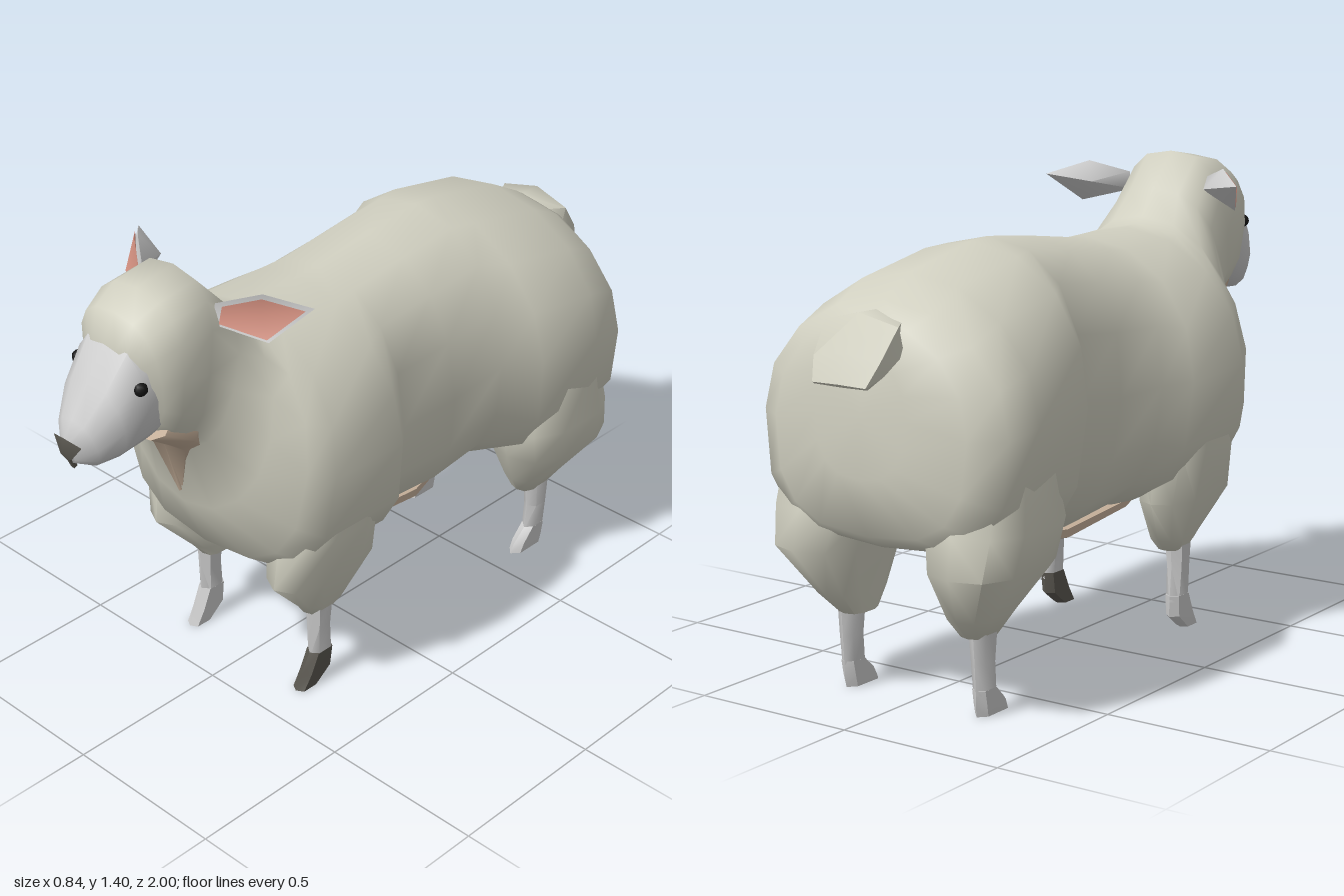
import * as THREE from 'three';
import { toCreasedNormals } from 'three/addons/utils/BufferGeometryUtils.js';

const mat = (color) => new THREE.MeshStandardMaterial({ color, side: THREE.DoubleSide });
const WOOL = mat(0xd0cfc0), SKIN = mat(0xcccccc), TAN = mat(0xc6b09a);
const PINK = mat(0xd39080), DARK = mat(0x5a5750), BLACK = mat(0x151515);

// rounded outline: unit cosine and sine pushed towards a box by the power p
const bend = (v, p) => Math.sign(v) * Math.abs(v) ** p;

// upright ring across the body: top point (zt, yt), bottom point (zb, yb), half width w,
// then the roundness of the upper and lower half (1 is an ellipse, less is boxier)
const crossRing = (n) => ([zt, yt, zb, yb, w, up = 0.85, low = up]) => Array.from({ length: n }, (_, i) => {
  const a = Math.PI / 2 + (i / n) * Math.PI * 2, p = Math.sin(a) > 0 ? up : low, s = bend(Math.sin(a), p);
  return [w * bend(Math.cos(a), p), (yt + yb) / 2 + s * (yt - yb) / 2, (zt + zb) / 2 + s * (zt - zb) / 2];
});

// level ring: height y, front and back z, inner and outer x
const levelRing = (n, p) => ([y, zf, zb, xi, xo]) => Array.from({ length: n }, (_, i) => {
  const a = ((i + 0.5) / n) * Math.PI * 2;
  return [(xi + xo) / 2 + bend(Math.cos(a), p) * (xo - xi) / 2, y, (zf + zb) / 2 + bend(Math.sin(a), p) * (zf - zb) / 2];
});

// skin a list of rings and close both ends
function loft(sections, ring, crease = 1) {
  const rings = sections.map(ring), n = rings[0].length, m = rings.length;
  const pos = rings.flat(), idx = [];
  for (let j = 0; j < m - 1; j++) for (let i = 0; i < n; i++) {
    const a = j * n + i, b = j * n + (i + 1) % n;
    idx.push(a, b, a + n, b, b + n, a + n);
  }
  [0, m - 1].forEach((j) => {
    const c = pos.length;
    pos.push([0, 1, 2].map((k) => rings[j].reduce((s, q) => s + q[k], 0) / n));
    for (let i = 0; i < n; i++) {
      const a = j * n + i, b = j * n + (i + 1) % n;
      idx.push(...(j ? [a, b, c] : [b, a, c]));
    }
  });
  // turn the faces outward using the signed volume
  let vol = 0;
  const v = pos.map((q) => new THREE.Vector3(...q));
  for (let i = 0; i < idx.length; i += 3)
    vol += v[idx[i]].dot(v[idx[i + 1]].clone().cross(v[idx[i + 2]]));
  if (vol < 0) idx.reverse();
  return finish(pos, idx, crease);
}

function finish(pos, idx, crease) {
  const g = new THREE.BufferGeometry();
  g.setAttribute('position', new THREE.Float32BufferAttribute(pos.flat(), 3));
  g.setIndex(idx);
  return toCreasedNormals(g, crease);
}

// fan from a hub to a closed outline
function fan(hub, outline, crease = 1) {
  const n = outline.length, idx = [];
  for (let i = 0; i < n; i++) idx.push(0, 1 + i, 1 + (i + 1) % n);
  return finish([hub, ...outline], idx, crease);
}

export function createModel() {
  const model = new THREE.Group();
  const add = (name, geo, material, parent = model) => {
    const mesh = new THREE.Mesh(geo, material);
    mesh.name = name;
    parent.add(mesh);
    return mesh;
  };

  // rump, barrel, shoulders, neck and woolly head in one skin
  add('fleece', loft([
    [-0.905, 1.0, -0.925, 0.66, 0.15, 1, 0.8],
    [-0.87, 1.08, -0.89, 0.50, 0.32, 1, 0.7],
    [-0.81, 1.12, -0.83, 0.46, 0.41, 1, 0.62],
    [-0.70, 1.18, -0.70, 0.44, 0.42, 1, 0.62],
    [-0.43, 1.235, -0.50, 0.41, 0.41, 1, 0.68],
    [-0.35, 1.24, -0.40, 0.395, 0.33, 0.9],
    [-0.15, 1.22, -0.20, 0.365, 0.325, 0.9],
    [0.05, 1.195, 0.03, 0.39, 0.325, 0.9],
    [0.13, 1.19, 0.09, 0.41, 0.385, 1, 0.72],
    [0.34, 1.195, 0.42, 0.43, 0.39, 1, 0.7],
    [0.40, 1.20, 0.51, 0.49, 0.355, 1, 0.75],
    [0.43, 1.22, 0.585, 0.66, 0.27, 0.95],
    [0.49, 1.30, 0.64, 0.88, 0.195],
    [0.59, 1.405, 0.68, 0.92, 0.18, 0.75],
    [0.72, 1.385, 0.73, 0.965, 0.178, 0.75],
    [0.80, 1.345, 0.76, 1.0, 0.155, 0.8],
    [0.84, 1.27, 0.78, 1.06, 0.1],
  ], crossRing(16), 1.3), WOOL);

  // bare patches under the throat and belly
  add('throat', loft([
    [0.54, 0.78, 0.60, 0.70, 0.012],
    [0.56, 0.98, 0.648, 0.875, 0.12],
    [0.62, 1.06, 0.69, 0.912, 0.155],
    [0.70, 1.07, 0.77, 0.965, 0.125],
  ], crossRing(10)), TAN);
  add('belly', loft([
    [-0.48, 0.43, -0.48, 0.405, 0.10],
    [-0.2, 0.42, -0.2, 0.355, 0.17],
    [0.1, 0.44, 0.1, 0.39, 0.17],
    [0.34, 0.46, 0.34, 0.42, 0.10],
  ], crossRing(10)), TAN);

  // face, nose and mouth
  add('face', loft([
    [0.70, 1.29, 0.68, 0.98, 0.13],
    [0.83, 1.28, 0.78, 0.965, 0.138],
    [0.90, 1.18, 0.86, 0.95, 0.118],
    [0.96, 1.09, 0.92, 0.943, 0.075],
    [0.988, 1.045, 0.97, 0.965, 0.025],
  ], crossRing(12)), SKIN);
  add('nose', fan([0, 1.02, 0.998],
    [[-0.055, 1.035, 0.978], [-0.022, 0.99, 0.986], [0, 0.98, 0.984], [0.022, 0.99, 0.986],
      [0.055, 1.035, 0.978], [0, 1.05, 0.992]]), DARK);
  const mouth = add('mouth', new THREE.BoxGeometry(0.012, 0.04, 0.012), DARK);
  mouth.position.set(0, 0.968, 0.969);
  mouth.rotation.x = 0.45;

  // tail
  add('tail', loft([
    [-0.83, 1.10, -0.83, 0.99, 0.09],
    [-0.91, 1.10, -0.87, 0.97, 0.138],
    [-0.97, 1.0, -0.94, 0.935, 0.125],
    [-1.0, 0.925, -0.985, 0.915, 0.1],
  ], crossRing(6), 1.2), WOOL);

  // paired parts, made for the left and mirrored for the right
  const foreThigh = loft([
    [0.25, 0.33, 0.235, 0.175, 0.25],
    [0.29, 0.36, 0.19, 0.165, 0.275],
    [0.42, 0.48, 0.11, 0.155, 0.33],
    [0.58, 0.46, 0.12, 0.13, 0.365],
    [0.74, 0.40, 0.15, 0.10, 0.37],
  ], levelRing(10, 0.8));
  const hindThigh = loft([
    [0.22, -0.62, -0.74, 0.17, 0.25],
    [0.28, -0.58, -0.80, 0.155, 0.29],
    [0.42, -0.50, -0.89, 0.13, 0.395],
    [0.53, -0.47, -0.87, 0.10, 0.415],
    [0.72, -0.52, -0.82, 0.08, 0.405],
  ], levelRing(10, 0.75));
  const frontLeg = loft([
    [0.09, 0.325, 0.24, 0.203, 0.255],
    [0.2, 0.325, 0.25, 0.20, 0.258],
    [0.32, 0.33, 0.24, 0.19, 0.265],
  ], levelRing(6, 0.8));
  const frontHoof = loft([
    [0, 0.38, 0.305, 0.202, 0.25],
    [0.045, 0.36, 0.242, 0.202, 0.253],
    [0.11, 0.325, 0.24, 0.203, 0.255],
  ], levelRing(6, 0.6), 0.6);
  const backLeg = loft([
    [0.06, -0.645, -0.725, 0.203, 0.252],
    [0.15, -0.655, -0.73, 0.20, 0.255],
    [0.3, -0.64, -0.74, 0.19, 0.262],
  ], levelRing(6, 0.8));
  const backHoof = loft([
    [0, -0.585, -0.72, 0.202, 0.25],
    [0.03, -0.60, -0.725, 0.202, 0.252],
    [0.075, -0.65, -0.725, 0.203, 0.252],
  ], levelRing(6, 0.6), 0.6);

  // leaf-shaped ear: cupped front, bulging back, pink lining
  const rim = [[0.14, 1.28, 0.59], [0.14, 1.335, 0.575], [0.24, 1.37, 0.50], [0.34, 1.33, 0.41], [0.275, 1.245, 0.515]];
  const cup = [0.235, 1.31, 0.50];
  const earBack = fan([0.20, 1.31, 0.455], rim, 1.2);
  const earFront = fan(cup, rim);
  const lift = [0.006, 0, 0.008];
  const lining = rim.map((q) => q.map((c, k) => cup[k] + (c - cup[k]) * 0.84 + lift[k]));
  const earLining = fan(cup.map((c, k) => c + lift[k]), lining);
  const eye = new THREE.SphereGeometry(0.02, 10, 8).translate(0.12, 1.175, 0.825);

  for (const side of [1, -1]) {
    const half = new THREE.Group();
    half.name = side > 0 ? 'leftSide' : 'rightSide';
    half.scale.x = side;
    model.add(half);
    add('foreThigh', foreThigh, WOOL, half);
    add('hindThigh', hindThigh, WOOL, half);
    add('frontLeg', frontLeg, SKIN, half);
    add('frontHoof', frontHoof, side > 0 ? DARK : SKIN, half);
    add('backLeg', backLeg, SKIN, half);
    add('backHoof', backHoof, SKIN, half);
    add('earBack', earBack, SKIN, half);
    add('earFront', earFront, SKIN, half);
    add('earLining', earLining, PINK, half);
    add('eye', eye, BLACK, half);
  }
  return model;
}
